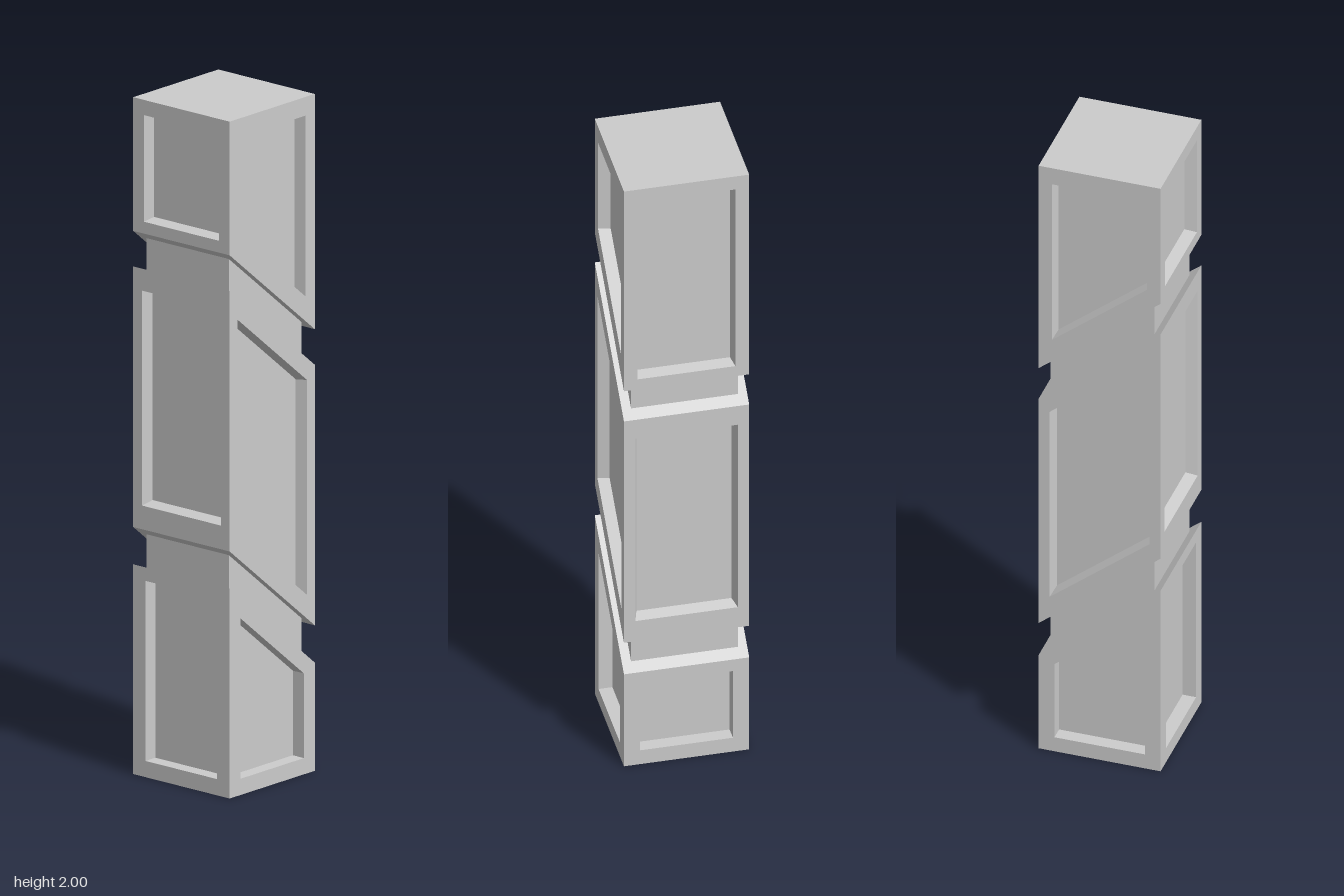
import * as THREE from 'three';

const H = 0.182;              // half width of the column
const SLOPE = 0.3 / (2 * H);  // rise of the slanted cuts toward the front
const material = new THREE.MeshStandardMaterial({ color: 0xcccccc, flatShading: true });

// Maps (u across, y up, d inward) of a side to space
const SIDES = {
  front: (u, y, d) => [u, y, H - d],
  back: (u, y, d) => [-u, y, d - H],
  left: (u, y, d) => [H - d, y, -u],
  right: (u, y, d) => [d - H, y, u],
};

const flatCut = (y) => () => y;
const slantCut = (y) => (z) => y + SLOPE * z; // y is the height on the axis

function meshFromQuads(quads, name) {
  const positions = [];
  for (const [a, b, c, d] of quads) positions.push(...a, ...b, ...c, ...a, ...c, ...d);
  const geometry = new THREE.BufferGeometry();
  geometry.setAttribute('position', new THREE.Float32BufferAttribute(positions, 3));
  geometry.computeVertexNormals();
  const mesh = new THREE.Mesh(geometry, material);
  mesh.name = name;
  return mesh;
}

// One block: four framed sides with sunken panels, closed by two caps
function makeBlock(name, { low, high, panelHalf, endMargin, sideMargin, bevel, depth }) {
  const group = new THREE.Group();
  group.name = name;

  for (const [side, map] of Object.entries(SIDES)) {
    const margins = side === 'front' || side === 'back' ? endMargin : sideMargin;
    // Four corners, counter-clockwise from outside
    const ring = (half, bottom, top, d) => [[-1, 0], [1, 0], [1, 1], [-1, 1]].map(([s, up]) => {
      const z = map(s * half, 0, 0)[2];
      return map(s * half, up ? high(z) - top : low(z) + bottom, d);
    });
    const outer = ring(H, 0, 0, 0);
    const rim = ring(panelHalf, margins[0], margins[1], 0);
    const floor = ring(panelHalf - bevel, margins[0] + bevel, margins[1] + bevel, depth);
    const bridge = (a, b) => a.map((p, i) => [p, a[(i + 1) % 4], b[(i + 1) % 4], b[i]]);
    group.add(
      meshFromQuads(bridge(outer, rim), side + 'Frame'),
      meshFromQuads([...bridge(rim, floor), floor], side + 'Panel'),
    );
  }

  const cap = (cut) => [[-H, H], [H, H], [H, -H], [-H, -H]].map(([x, z]) => [x, cut(z), z]);
  group.add(
    meshFromQuads([cap(high)], 'topCap'),
    meshFromQuads([cap(low).reverse()], 'bottomCap'),
  );
  return group;
}

// Narrow slanted core between two blocks
function makeNeck(name, y) {
  const geometry = new THREE.BoxGeometry(0.31, 0.112, 0.31);
  const p = geometry.attributes.position;
  for (let i = 0; i < p.count; i++) p.setY(i, p.getY(i) + y + SLOPE * p.getZ(i));
  geometry.computeVertexNormals();
  const mesh = new THREE.Mesh(geometry, material);
  mesh.name = name;
  return mesh;
}

export function createModel() {
  const model = new THREE.Group();
  model.name = 'column';
  model.add(
    makeBlock('lowerBlock', {
      low: flatCut(0), high: slantCut(0.47), panelHalf: 0.135,
      endMargin: [0.048, 0.04], sideMargin: [0.048, 0.06], bevel: 0.001, depth: 0.04,
    }),
    makeNeck('lowerNeck', 0.525),
    makeBlock('middleBlock', {
      low: slantCut(0.58), high: slantCut(1.35), panelHalf: 0.149,
      endMargin: [0.07, 0.065], sideMargin: [0.07, 0.065], bevel: 0.011, depth: 0.033,
    }),
    makeNeck('upperNeck', 1.4025),
    makeBlock('upperBlock', {
      low: slantCut(1.455), high: flatCut(2), panelHalf: 0.142,
      endMargin: [0.035, 0.045], sideMargin: [0.073, 0.055], bevel: 0.008, depth: 0.035,
    }),
  );
  return model;
}
